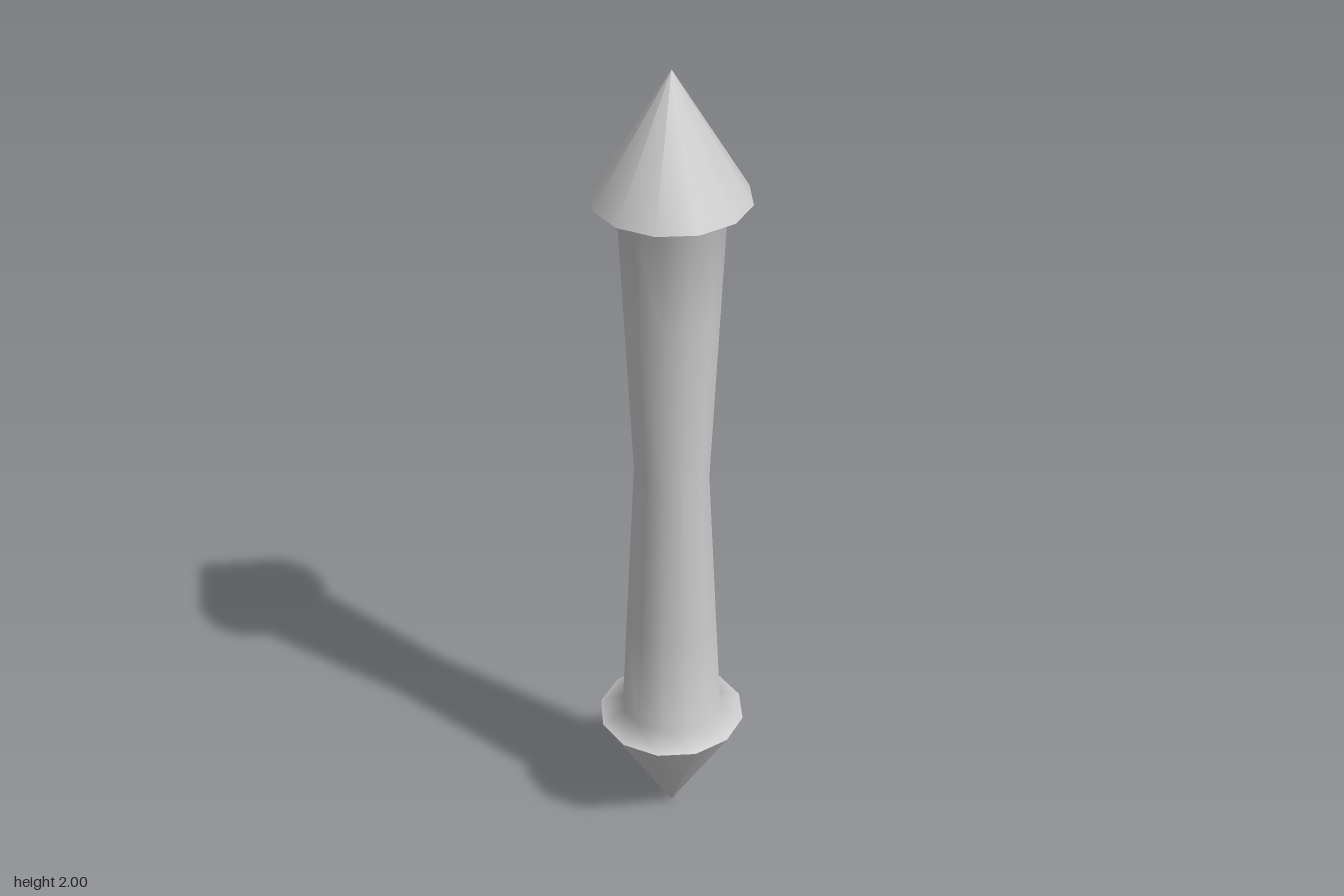
import * as THREE from 'three';

const SIDES = 12;
const HEAD_RADIUS = 0.177;
const HEAD_HEIGHT = 0.295;

export function createModel() {
  const group = new THREE.Group();
  const material = new THREE.MeshStandardMaterial({ color: 0xcccccc });

  const add = (name, geometry) => {
    const mesh = new THREE.Mesh(geometry, material);
    mesh.name = name;
    group.add(mesh);
    return mesh;
  };

  // Waisted shaft, flaring out at each end to meet the pointed heads
  const lower = [
    [HEAD_RADIUS, HEAD_HEIGHT],
    [0.121, 0.323],
    [0.109, 0.57],
    [0.088, 1],
  ];
  const upper = lower.slice(0, -1).reverse().map(([r, y]) => [r, 2 - y]);
  const profile = [...lower, ...upper].map(([r, y]) => new THREE.Vector2(r, y));
  add('shaft', new THREE.LatheGeometry(profile, SIDES));

  // Pointed heads, mirrored top and bottom
  const head = new THREE.ConeGeometry(HEAD_RADIUS, HEAD_HEIGHT, SIDES, 1, true);
  add('upperHead', head).position.y = 2 - HEAD_HEIGHT / 2;
  const lowerHead = add('lowerHead', head);
  lowerHead.rotation.x = Math.PI;
  lowerHead.position.y = HEAD_HEIGHT / 2;

  return group;
}
